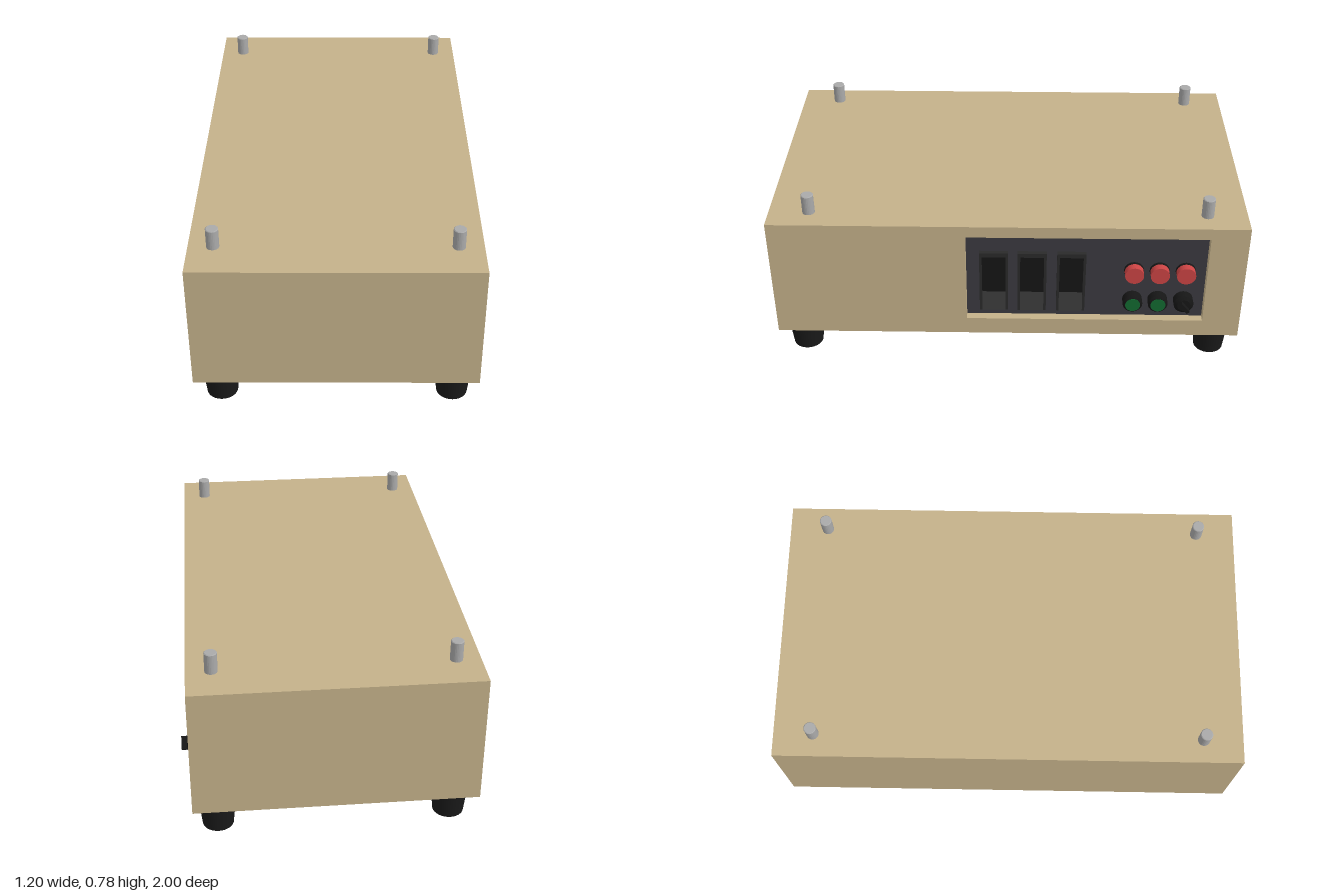
import * as THREE from 'three';

const mat = (color) => new THREE.MeshStandardMaterial({ color });
const tan = mat(0xc4b18a), steel = mat(0xaaaaaa), rubber = mat(0x1a1a1a), panelGrey = mat(0x3b3a40);
const black = mat(0x161616), charcoal = mat(0x2a2a2a), darkGrey = mat(0x383838), red = mat(0xcc4444), green = mat(0x126a30);

function add(parent, name, geometry, material, x = 0, y = 0, z = 0) {
  const mesh = new THREE.Mesh(geometry, material);
  mesh.name = name;
  mesh.position.set(x, y, z);
  parent.add(mesh);
  return mesh;
}

// Rectangle outline, counter-clockwise
const rect = (x0, x1, y0, y1) => [[x0, y0], [x1, y0], [x1, y1], [x0, y1]].map(([x, y]) => new THREE.Vector2(x, y));

// Flat plate with a rectangular opening, thickness along z
function framePlate(outer, inner, depth) {
  const shape = new THREE.Shape(outer);
  shape.holes.push(new THREE.Path(inner.slice().reverse()));
  return new THREE.ExtrudeGeometry(shape, { depth, bevelEnabled: false });
}

// Disc whose axis points out of the panel, from z = a to z = b
function knob(rFront, rBack, a, b) {
  return new THREE.CylinderGeometry(rFront, rBack, b - a, 32).rotateX(Math.PI / 2).translate(0, 0, (a + b) / 2);
}

// Side profile (depth, height) swept across the width of a switch
function sweep(points, width) {
  const shape = new THREE.Shape(points.map(([d, y]) => new THREE.Vector2(d, y)));
  return new THREE.ExtrudeGeometry(shape, { depth: width, bevelEnabled: false })
    .translate(0, 0, -width / 2).rotateY(-Math.PI / 2);
}

function rockerSwitch() {
  const g = new THREE.Group();
  g.name = 'rockerSwitch';
  add(g, 'switchFrame', framePlate(rect(-0.061, 0.061, -0.15, 0.15), rect(-0.05, 0.05, -0.142, 0.13), 0.02), charcoal);
  add(g, 'rockerUpper', sweep([[0, -0.058], [0.01, -0.058], [0.02, 0.13], [0, 0.13]], 0.1), black);
  add(g, 'rockerLower', sweep([[0, -0.142], [0.03, -0.142], [0.01, -0.058], [0, -0.058]], 0.1), darkGrey);
  return g;
}

function pushButton(name, capMaterial, isRed) {
  const g = new THREE.Group();
  g.name = name;
  if (isRed) {
    add(g, 'buttonCollar', knob(0.041, 0.042, 0, 0.012), black);
    add(g, 'buttonCap', knob(0.04, 0.04, 0.01, 0.044), capMaterial);
  } else {
    add(g, 'buttonCollar', knob(0.042, 0.042, 0, 0.038), black);
    add(g, 'buttonBezel', knob(0.034, 0.042, 0.038, 0.046), black);
    add(g, 'buttonCap', knob(0.032, 0.032, 0.04, 0.048), capMaterial);
  }
  return g;
}

function selectorDial() {
  const g = new THREE.Group();
  g.name = 'selectorDial';
  add(g, 'dialCollar', knob(0.042, 0.042, 0, 0.038), black);
  add(g, 'dialBezel', knob(0.028, 0.042, 0.038, 0.048), black);
  add(g, 'dialHandle', new THREE.BoxGeometry(0.016, 0.056, 0.025), black, 0, 0, 0.0585).rotation.z = Math.PI / 4.5;
  return g;
}

export function createModel() {
  const model = new THREE.Group();
  model.name = 'controlBox';

  // Housing: solid block plus a side wall with the panel opening
  add(model, 'housing', new THREE.BoxGeometry(1.123, 0.56, 2), tan, -0.0355, 0.41, 0);
  const wall = framePlate(rect(-1, 1, 0.13, 0.69), rect(-0.175, 0.84, 0.21, 0.638), 0.04);
  add(model, 'panelWall', wall.rotateY(Math.PI / 2), tan, 0.526);

  // Feet and top pins at the four corners
  for (const sz of [-1, 1]) {
    for (const x of [-0.491, 0.465]) {
      add(model, 'foot', new THREE.CylinderGeometry(0.078, 0.064, 0.132, 32), rubber, x, 0.066, sz * 0.895);
    }
    for (const x of [-0.498, 0.465]) {
      const pin = [[0, 0], [0.026, 0], [0.026, 0.084], [0.023, 0.087], [0, 0.087]].map(([r, y]) => new THREE.Vector2(r, y));
      const geo = new THREE.LatheGeometry(pin, 24).toNonIndexed();
      geo.computeVertexNormals();
      add(model, 'topPin', geo, steel, x, 0.69, sz * 0.832);
    }
  }

  // Recessed panel: local x runs towards the back, local z points outward
  const panel = new THREE.Group();
  panel.name = 'controlPanel';
  panel.position.x = 0.526;
  panel.rotation.y = Math.PI / 2;
  model.add(panel);
  add(panel, 'panelPlate', new THREE.BoxGeometry(1.015, 0.428, 0.004), panelGrey, 0.3325, 0.424, 0.002);

  const place = (part, x, y) => {
    part.position.set(x, y, 0.003);
    panel.add(part);
  };
  for (const x of [-0.058, 0.104, 0.27]) place(rockerSwitch(), x, 0.395);
  for (const x of [0.535, 0.643, 0.753]) place(pushButton('redButton', red, true), x, 0.452);
  for (const x of [0.535, 0.643]) place(pushButton('greenButton', green, false), x, 0.3);
  place(selectorDial(), 0.753, 0.3);

  return model;
}
